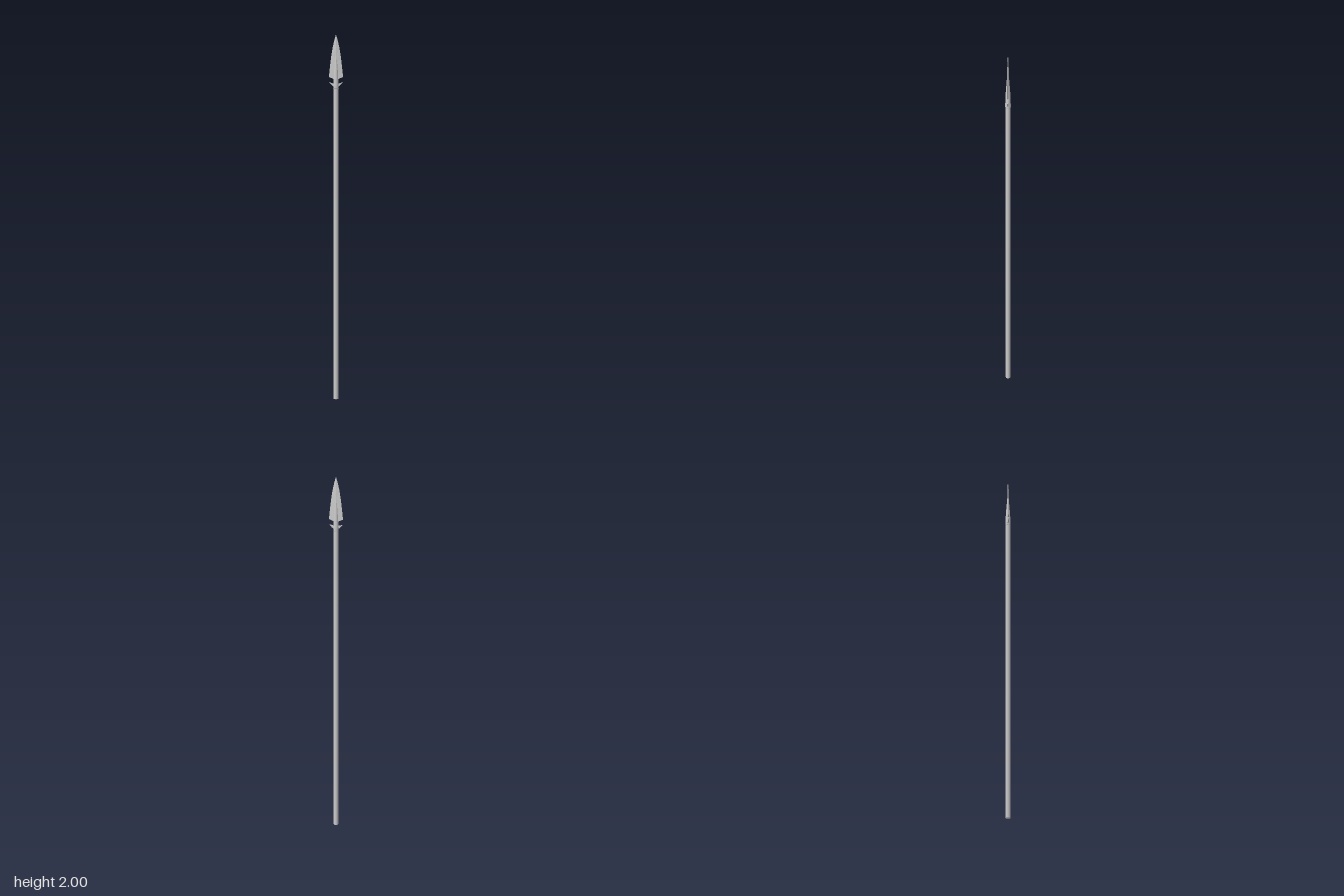
import * as THREE from 'three';

const steel = new THREE.MeshStandardMaterial({ color: 0xcccccc, flatShading: true, side: THREE.DoubleSide });
const smooth = new THREE.MeshStandardMaterial({ color: 0xcccccc });

function add(group, name, geometry, material) {
  const mesh = new THREE.Mesh(geometry, material);
  mesh.name = name;
  group.add(mesh);
  return mesh;
}

// Solid with a diamond cross-section; each section is
// [edge height, spine height, half width, half thickness]
function diamondLoft(sections) {
  const positions = [], index = [];
  for (const [edgeY, spineY, w, t] of sections) {
    positions.push(w, edgeY, 0, 0, spineY, -t, -w, edgeY, 0, 0, spineY, t);
  }
  for (let s = 0; s < sections.length - 1; s++) {
    for (let i = 0; i < 4; i++) {
      const a = s * 4 + i, b = s * 4 + (i + 1) % 4;
      index.push(a, b, b + 4, a, b + 4, a + 4);
    }
  }
  index.push(0, 3, 1, 1, 3, 2);
  const geometry = new THREE.BufferGeometry();
  geometry.setAttribute('position', new THREE.Float32BufferAttribute(positions, 3));
  geometry.setIndex(index);
  geometry.computeVertexNormals();
  return geometry;
}

// Small pointed lug tapering from the socket to its tip
function lugGeometry() {
  const shape = new THREE.Shape();
  shape.moveTo(0.008, 1.742);
  shape.lineTo(0.02, 1.744);
  shape.lineTo(0.037, 1.75);
  shape.lineTo(0.024, 1.735);
  shape.lineTo(0.015, 1.728);
  shape.lineTo(0.008, 1.722);
  const geometry = new THREE.ExtrudeGeometry(shape, { depth: 2, bevelEnabled: false });
  const p = geometry.attributes.position;
  for (let i = 0; i < p.count; i++) {
    const half = 0.0045 * (1 - (p.getX(i) - 0.008) / 0.03);
    p.setZ(i, (p.getZ(i) - 1) * half);
  }
  geometry.computeVertexNormals();
  return geometry;
}

export function createModel() {
  const spear = new THREE.Group();
  spear.name = 'spear';

  // Long round shaft
  const shaft = add(spear, 'shaft', new THREE.CylinderGeometry(0.0135, 0.0135, 1.73, 12), smooth);
  shaft.position.y = 0.865;

  // Tapered socket that runs up into the blade
  const profile = [[0.0135, 1.715], [0.0148, 1.717], [0.0142, 1.74], [0.0125, 1.79], [0.007, 1.86], [0.0025, 1.91], [0, 1.925]];
  add(spear, 'socket', new THREE.LatheGeometry(profile.map(([x, y]) => new THREE.Vector2(x, y)), 12), smooth);

  // Leaf-shaped blade
  add(spear, 'blade', diamondLoft([
    [1.777, 1.762, 0.038, 0.005],
    [1.83, 1.83, 0.0325, 0.005],
    [1.88, 1.88, 0.0265, 0.0045],
    [1.93, 1.93, 0.0185, 0.004],
    [1.97, 1.97, 0.0095, 0.003],
    [2, 2, 0.0005, 0.0005],
  ]), steel);

  // Pair of lugs below the blade
  for (const side of [1, -1]) {
    const lug = add(spear, side > 0 ? 'leftLug' : 'rightLug', lugGeometry(), steel);
    if (side < 0) lug.rotation.y = Math.PI;
  }
  return spear;
}
